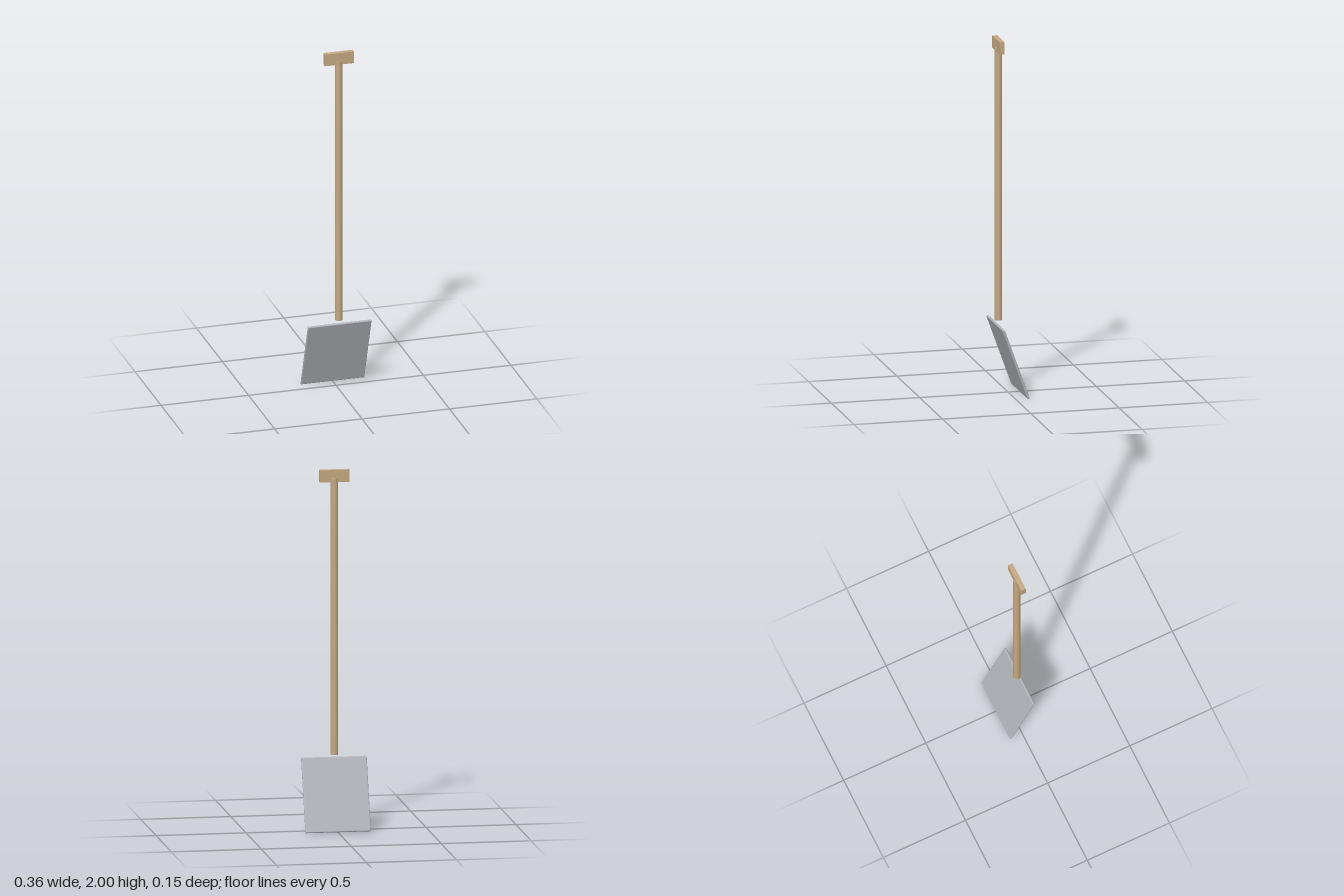
import * as THREE from 'three';
import { RoundedBoxGeometry } from 'three/addons/geometries/RoundedBoxGeometry.js';

export function createModel() {
  const model = new THREE.Group();
  model.name = 'shovel';
  const wood = new THREE.MeshStandardMaterial({ color: 0xc4a882 });
  const steel = new THREE.MeshStandardMaterial({ color: 0xb0b3b8 });
  const shaftZ = 0.054;

  const add = (name, geometry, material, y, z) => {
    const mesh = new THREE.Mesh(geometry, material);
    mesh.name = name;
    mesh.position.set(0, y, z);
    model.add(mesh);
    return mesh;
  };

  // Flat blade with softened edges, top leaning forward
  const blade = add('blade', new RoundedBoxGeometry(0.364, 0.42, 0.014, 4, 0.006), steel, 0.2, 0);
  blade.rotation.x = 0.345;

  // Round shaft, floating just above the blade
  const bottom = 0.413, top = 1.955;
  add('shaft', new THREE.CylinderGeometry(0.0205, 0.0205, top - bottom, 24), wood, (top + bottom) / 2, shaftZ);

  // Cross grip
  add('grip', new THREE.BoxGeometry(0.166, 0.068, 0.028), wood, 1.966, shaftZ);

  return model;
}
